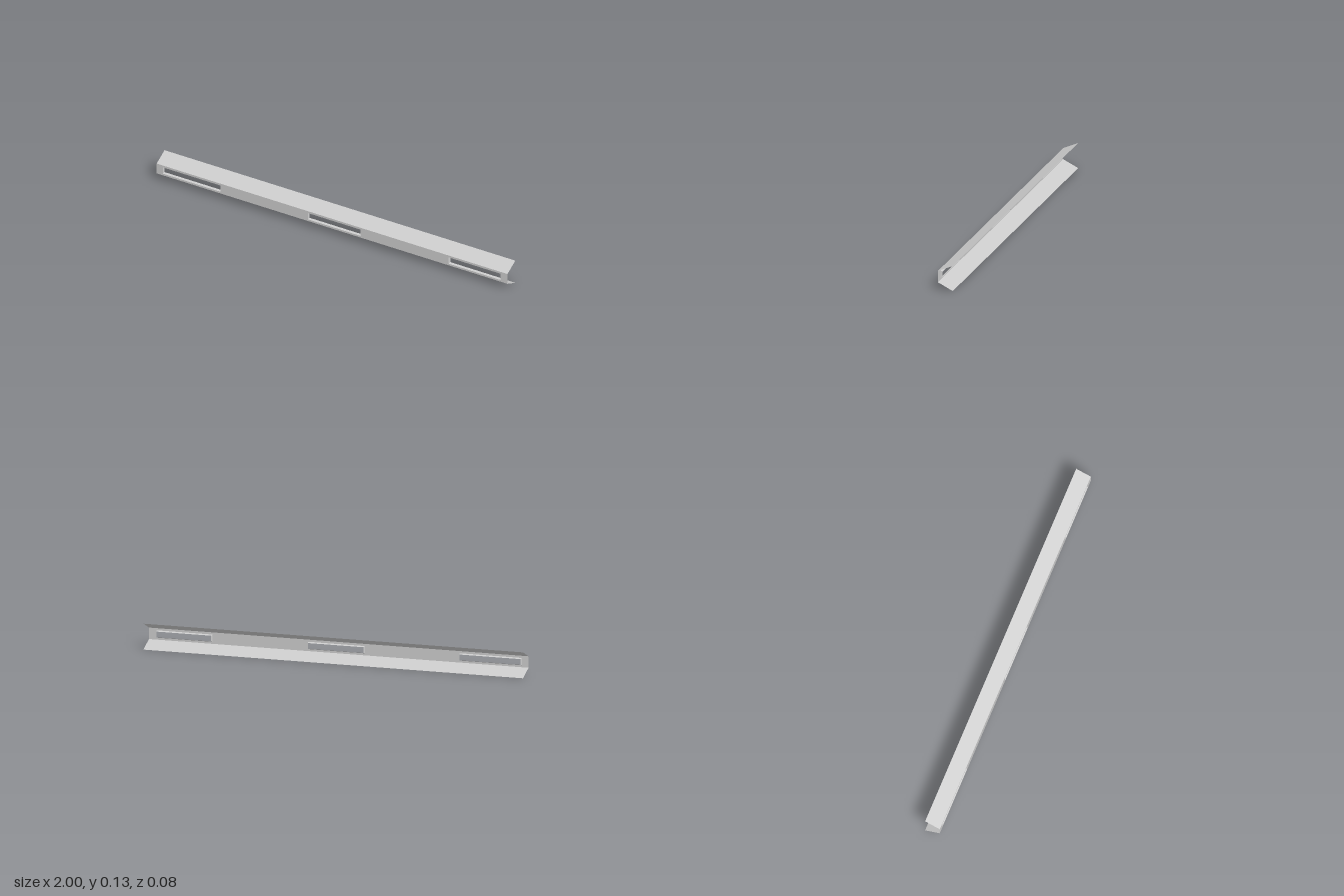
import * as THREE from 'three';

const FRONT = 0.039, BACK = -0.039;
const WEB_LOW = 0.038, WEB_HIGH = 0.096, TOP = 0.131;
const SLOT_LOW = 0.048, SLOT_HIGH = 0.085;
const SLOTS = [[-0.965, -0.637], [-0.138, 0.163], [0.664, 0.96]];

const material = new THREE.MeshStandardMaterial({ color: 0xcccccc, side: THREE.DoubleSide, flatShading: true });

function part(name, geometry) {
  const mesh = new THREE.Mesh(geometry, material);
  mesh.name = name;
  return mesh;
}

// Quad strip between two rows of points
function strip(a, b) {
  const pos = [];
  for (let i = 0; i < a.length - 1; i++) {
    pos.push(...a[i], ...b[i], ...b[i + 1], ...a[i], ...b[i + 1], ...a[i + 1]);
  }
  const g = new THREE.BufferGeometry();
  g.setAttribute('position', new THREE.Float32BufferAttribute(pos, 3));
  g.computeVertexNormals();
  return g;
}

const rect = (x0, x1, y0, y1) => [[x0, y0], [x1, y0], [x1, y1], [x0, y1]];
const toPoints = (corners) => corners.map(([x, y]) => new THREE.Vector2(x, y));

export function createModel() {
  const group = new THREE.Group();
  group.name = 'slottedRail';

  // Upright web with three slots
  const web = new THREE.Shape(toPoints(rect(-1, 1, WEB_LOW, WEB_HIGH)));
  for (const [x0, x1] of SLOTS) {
    web.holes.push(new THREE.Path(toPoints(rect(x0, x1, SLOT_LOW, SLOT_HIGH).reverse())));
  }
  group.add(part('web', new THREE.ShapeGeometry(web).translate(0, 0, FRONT)));

  // Sloping flanges running back from the web
  group.add(part('topFlange', strip(
    [[-1, WEB_HIGH, FRONT], [1, WEB_HIGH, FRONT]], [[-1, TOP, BACK], [1, TOP, BACK]])));
  group.add(part('bottomFlange', strip(
    [[-1, 0, BACK], [1, 0, BACK]], [[-1, WEB_LOW, FRONT], [1, WEB_LOW, FRONT]])));

  // Tapered lips folded back around each slot
  const t = 0.004, depth = 0.011;
  SLOTS.forEach(([x0, x1], i) => {
    const loop = (inset, z) => {
      const c = rect(x0 + inset, x1 - inset, SLOT_LOW + inset, SLOT_HIGH - inset);
      return [...c, c[0]].map(([x, y]) => [x, y, z]);
    };
    group.add(part(`slotLip${i + 1}`, strip(loop(0, FRONT), loop(t, FRONT - depth))));
  });

  return group;
}
